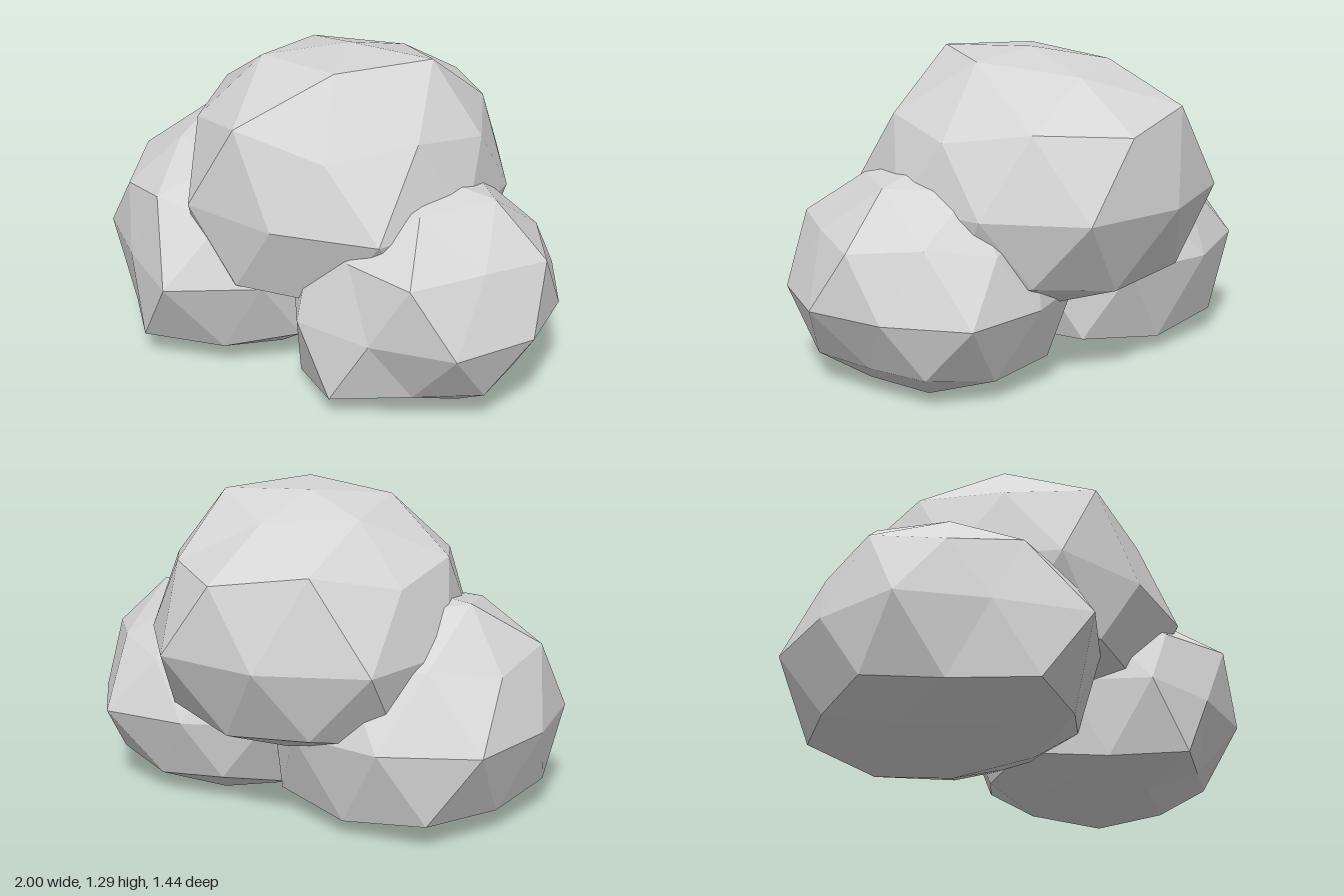
import * as THREE from 'three';

// Rings of a pole-up subdivided icosahedron: height, first azimuth, azimuth step
const RINGS = [
  { name: 'crown', y: 0.851, start: 0, step: 72 },
  { name: 'upperMid', y: 0.526, start: 36, step: 72 },
  { name: 'upper', y: 0.447, start: 0, step: 72 },
  { name: 'middle', y: 0, start: 18, step: 36 },
  { name: 'lower', y: -0.447, start: 36, step: 72 },
  { name: 'lowerMid', y: -0.526, start: 0, step: 72 },
  { name: 'base', y: -0.851, start: 36, step: 72 },
];

// Faceted boulder: each ring may swell or shrink per corner; the underside is cut flat
function boulder(name, material, { center, radius, floor, pole, squash = 1, ...swell }) {
  const geo = new THREE.IcosahedronGeometry(1, 1);
  geo.rotateZ(Math.atan(2 / (1 + Math.sqrt(5))));
  geo.rotateY(Math.PI);
  const pos = geo.attributes.position;
  const v = new THREE.Vector3();
  for (let i = 0; i < pos.count; i++) {
    v.fromBufferAttribute(pos, i);
    let scale = v.y > 0.95 ? pole : 1;
    const ring = RINGS.find((r) => Math.abs(r.y - v.y) < 0.03);
    if (ring && swell[ring.name]) {
      const azimuth = THREE.MathUtils.radToDeg(Math.atan2(-v.z, v.x)) + 360;
      const n = 360 / ring.step;
      const k = Math.round((azimuth - ring.start) / ring.step) % n;
      scale = swell[ring.name][k];
    }
    v.multiplyScalar(radius * scale);
    v.y = Math.max(v.y * squash, floor - center[1]);
    pos.setXYZ(i, v.x, v.y, v.z);
  }
  geo.computeVertexNormals();
  const mesh = new THREE.Mesh(geo, material);
  mesh.name = name;
  mesh.position.set(...center);
  return mesh;
}

export function createModel() {
  const group = new THREE.Group();
  group.name = 'boulderPile';
  const stone = new THREE.MeshStandardMaterial({ color: 0xd6d6d6, flatShading: true });
  stone.name = 'stone grey';

  // Large boulder resting on the other two
  group.add(boulder('topBoulder', stone, {
    center: [0.03, 0.72, -0.02], radius: 0.65, floor: 0.3, pole: 0.935, squash: 0.94,
    crown: [1.07, 0.94, 0.97, 1.03, 1.08],
    upperMid: [1, 1.13, 1.05, 1.13, 1.04],
    upper: [1, 1.12, 1.03, 1.06, 1],
    middle: [1, 1.1, 1.08, 1.16, 1.03, 1.03, 1.1, 1.02, 1.12, 1],
    lower: [1, 1.05, 1.12, 1.08, 1],
    lowerMid: [1, 1, 1.08, 1.1, 1],
  }));

  // Lower boulder on the -x side
  group.add(boulder('rightBoulder', stone, {
    center: [-0.42, 0.4, 0.05], radius: 0.58, floor: 0.02, pole: 0.85,
    crown: [1, 0.9, 1.02, 0.9, 0.9],
    upperMid: [1, 0.95, 1.02, 0.98, 1],
    upper: [1, 1, 0.97, 0.96, 0.95],
    middle: [1.05, 1.1, 1.1, 1.15, 1, 1.05, 0.92, 1.15, 1, 1],
    lower: [1.14, 1.14, 1.02, 1.12, 1],
    lowerMid: [1, 1.1, 1, 1, 1],
    base: [1.1, 1, 1, 1, 1.1],
  }));

  // Lower boulder on the +x side
  group.add(boulder('leftBoulder', stone, {
    center: [0.47, 0.36, 0.16], radius: 0.52, floor: 0, pole: 0.98,
    crown: [1.04, 1, 1, 1, 1.02],
    upper: [1.08, 1, 1.08, 1, 1.17],
    middle: [1.02, 1.16, 1.04, 1.1, 1.06, 1.04, 1.1, 1, 1.12, 1.07],
    lower: [1, 1.05, 1.22, 1.17, 1],
    lowerMid: [0.87, 1, 1.1, 1.15, 0.92],
    base: [0.95, 1.1, 1.25, 1.07, 0.95],
  }));
  return group;
}
